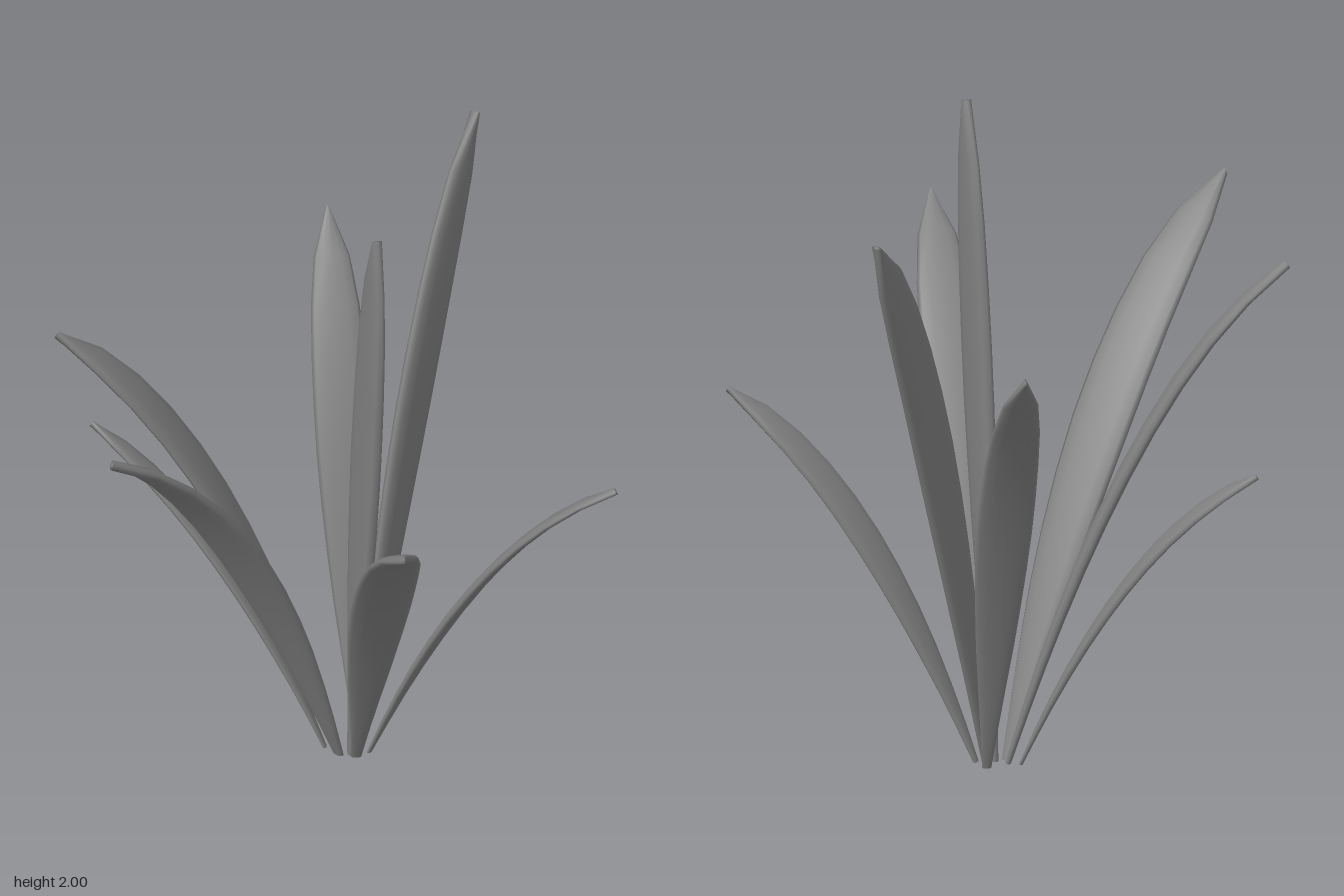
import * as THREE from 'three';
import { mergeVertices } from 'three/addons/utils/BufferGeometryUtils.js';

// full blade width at evenly spaced rings, as a share of blade length
const WIDTHS = [0.017, 0.034, 0.052, 0.07, 0.084, 0.095, 0.102, 0.103, 0.099, 0.089, 0.066, 0.006];
const RINGS = WIDTHS.length - 1;

// bends a cylinder into a thick, round-edged blade arching from base to tip;
// roll (degrees) turns the blade about its own midline
function bladeGeometry({ base, tip, bend = [0.45, 0.79, 0.45], roll = 0, upright = false }) {
  const p0 = new THREE.Vector3(...base);
  const p2 = new THREE.Vector3(...tip);
  const span = p2.clone().sub(p0);
  const control = span.clone().multiply(new THREE.Vector3(...bend)).add(p0);
  const curve = new THREE.QuadraticBezierCurve3(p0, control, p2);
  const length = curve.getLength();
  const rollAngle = THREE.MathUtils.degToRad(roll);

  // blades lie flat across their lean, or stand on edge along it
  const side = upright
    ? new THREE.Vector3(span.x, 0, span.z).normalize()
    : new THREE.Vector3(span.z, 0, -span.x).normalize();

  const geo = new THREE.CylinderGeometry(1, 1, 1, 12, RINGS);
  const pos = geo.attributes.position;
  const v = new THREE.Vector3();
  for (let i = 0; i < pos.count; i++) {
    v.fromBufferAttribute(pos, i);
    const t = THREE.MathUtils.clamp(v.y + 0.5, 0, 1);
    const tangent = curve.getTangentAt(t);
    const w = side.clone().addScaledVector(tangent, -side.dot(tangent)).normalize();
    w.applyAxisAngle(tangent, -rollAngle);
    const n = w.clone().cross(tangent);
    const halfWidth = WIDTHS[Math.round(t * RINGS)] * length / 2;
    const halfThick = length * (0.005 + 0.003 * t + 0.005 * Math.sin(Math.PI * t));
    // fuller than an ellipse, so the rim keeps some thickness
    const bulge = Math.sign(v.z) * Math.pow(Math.abs(v.z), 0.7);
    const p = curve.getPointAt(t)
      .addScaledVector(w, v.x * halfWidth)
      .addScaledVector(n, bulge * halfThick);
    // flat cut at the ground
    pos.setXYZ(i, p.x, t === 0 ? 0 : Math.max(0, p.y), p.z);
  }
  geo.deleteAttribute('uv');
  geo.deleteAttribute('normal');
  const merged = mergeVertices(geo, 1e-5);
  merged.computeVertexNormals();
  return merged;
}

export function createModel() {
  const model = new THREE.Group();
  model.name = 'leafTuft';
  const leafGrey = new THREE.MeshStandardMaterial({ color: 0x808080 });
  leafGrey.name = 'leafGrey';

  const leaves = {
    tallCentreLeaf: { base: [0.135, 0, -0.15], tip: [0.13, 2, 0.08], bend: [0.5, 0.5, 0.5], upright: true },
    tallBackLeftLeaf: { base: [0.17, 0, -0.175], tip: [0.71, 1.86, -0.63], bend: [0.43, 0.7, 0.31], upright: true },
    frontLeftLeaf: { base: [0.19, 0, -0.14], tip: [0.79, 1.1, 0.33], roll: 12 },
    frontLeaf: { base: [0.145, 0, -0.13], tip: [-0.08, 1.42, 0.86], bend: [0.38, 0.76, 0.46] },
    frontRightLeaf: { base: [0.1, 0, -0.16], tip: [-0.79, 1.57, 0.3], roll: -11 },
    backRightLeaf: { base: [0.105, 0, -0.185], tip: [-0.69, 1.54, -0.42], bend: [0.43, 0.79, 0.56], roll: 10 },
    shortBackRightLeaf: { base: [0.075, 0, -0.21], tip: [-0.48, 0.99, -0.69], bend: [0.45, 0.77, 0.45], roll: -13 },
    backLeaf: { base: [0.18, 0, -0.2], tip: [0.33, 1.46, -0.86], bend: [0.38, 0.76, 0.44] },
  };

  for (const [name, spec] of Object.entries(leaves)) {
    const leaf = new THREE.Mesh(bladeGeometry(spec), leafGrey);
    leaf.name = name;
    model.add(leaf);
  }
  return model;
}
